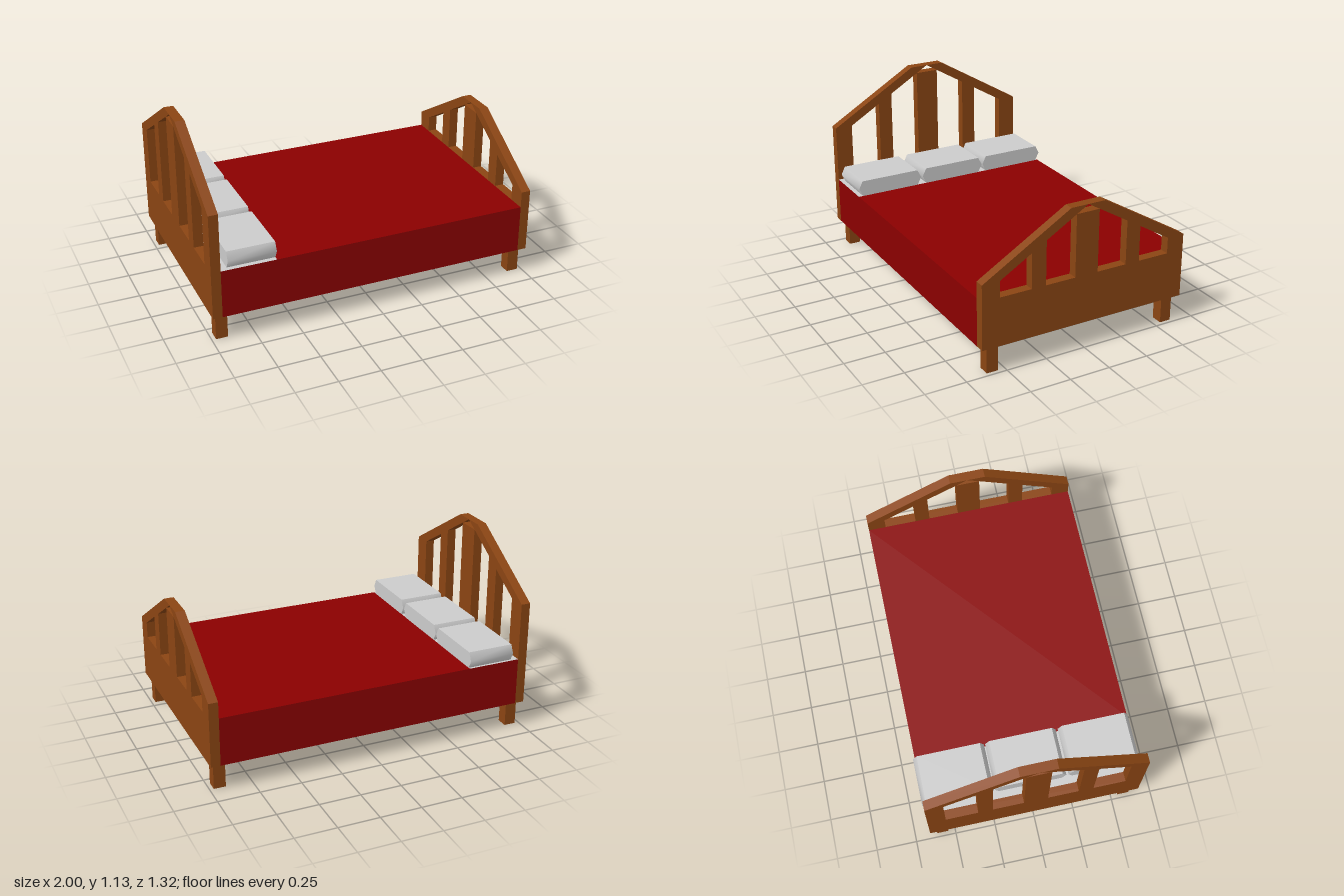
import * as THREE from 'three';
import { toCreasedNormals } from 'three/addons/utils/BufferGeometryUtils.js';

const wood = new THREE.MeshStandardMaterial({ name: 'wood', color: 0x8b4513 });
const red = new THREE.MeshStandardMaterial({ name: 'redBlanket', color: 0x8b0000 });
const linen = new THREE.MeshStandardMaterial({ name: 'linen', color: 0xcccccc });

const HALF = 0.655;      // half width of the bed along z
const BASE = 0.163;      // underside of the bed
const TOP = 0.457;       // mattress top
const POST = 0.546;      // inner side of the corner posts
const BOARD = 0.057;     // thickness of the end boards

function add(parent, name, geometry, material) {
  const mesh = new THREE.Mesh(geometry, material);
  mesh.name = name;
  parent.add(mesh);
  return mesh;
}

// Extrudes a (z, y) outline along x, centred on x = 0
function slab(points, depth) {
  const shape = new THREE.Shape(points.map(([z, y]) => new THREE.Vector2(z, y)));
  return new THREE.ExtrudeGeometry(shape, { depth, bevelEnabled: false })
    .translate(0, 0, -depth / 2)
    .rotateY(-Math.PI / 2);
}

function box(x0, x1, y0, y1, z0, z1) {
  return new THREE.BoxGeometry(x1 - x0, y1 - y0, z1 - z0)
    .translate((x0 + x1) / 2, (y0 + y1) / 2, (z0 + z1) / 2);
}

// Gabled end board: solid panel, posts, sloping rails and slats
function endBoard(name, x, shoulder) {
  const board = new THREE.Group();
  board.name = name;
  board.position.x = x;
  const peak = shoulder + 0.325;
  const under = (z) => peak - (Math.abs(z) * 0.325) / POST;   // underside of the rail
  const h = BOARD / 2;

  add(board, 'panel', box(-h, h, BASE, TOP + 0.001, -HALF, HALF), wood);
  for (const s of [-1, 1]) {
    const part = (label, pts) => add(board, label, slab(pts.map(([z, y]) => [s * z, y]), BOARD), wood);
    part('post', [[POST, TOP], [HALF, TOP], [HALF, shoulder], [POST, shoulder]]);
    part('rail', [[POST, shoulder], [HALF, shoulder], [HALF - POST, peak], [0, peak]]);
    part('sideSlat', [[0.26, TOP], [0.35, TOP], [0.35, under(0.35)], [0.26, under(0.26)]]);
  }
  add(board, 'centreSlat', box(-h, h, TOP, under(0.073), -0.073, 0.073), wood);
  return board;
}

export function createModel() {
  const bed = new THREE.Group();
  bed.name = 'bed';

  bed.add(endBoard('headboard', -1 + BOARD / 2, 0.81));
  bed.add(endBoard('footboard', 1 - BOARD / 2, 0.556));

  // Mattress: linen strip at the head, red blanket over the rest, wooden underside
  const inner = 1 - BOARD, fold = -0.614;
  add(bed, 'mattressHead', box(-inner, fold, BASE, TOP, -HALF, HALF),
    [red, red, linen, wood, red, red]);
  add(bed, 'mattressBlanket', box(fold, inner, BASE, TOP, -HALF, HALF),
    [red, red, red, wood, red, red]);

  // Legs
  for (const sx of [-1, 1]) {
    for (const sz of [-1, 1]) {
      const leg = add(bed, 'leg', new THREE.BoxGeometry(0.071, BASE, 0.07), wood);
      leg.position.set(sx * 0.94, BASE / 2, sz * 0.579);
    }
  }

  // Three pillows with pointed ends, softened at the tip
  const a = 0.216, b = 0.191, t = 0.05;
  const pillowShape = [[-b, -t], [b, -t], [a, 0], [b, t], [-b, t], [-a, 0]];
  const pillowGeometry = toCreasedNormals(slab(pillowShape, 0.286), 1.02);
  for (const z of [-0.449, -0.01, 0.435]) {
    add(bed, 'pillow', pillowGeometry, linen).position.set(-0.756, TOP + t, z);
  }

  return bed;
}
